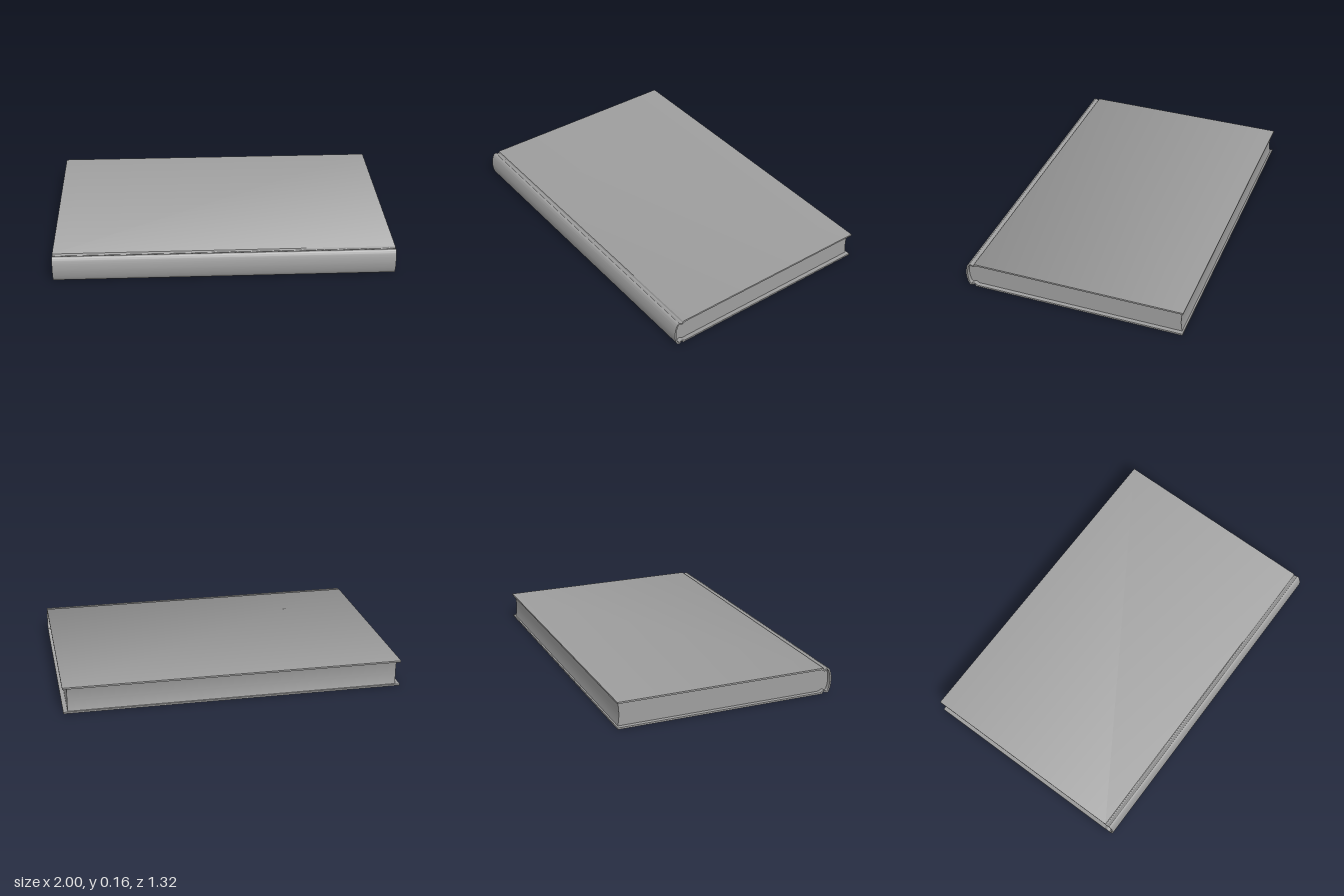
import * as THREE from 'three';
import { toCreasedNormals } from 'three/addons/utils/BufferGeometryUtils.js';

const MID = 0.08; // half the thickness of the closed book
const material = new THREE.MeshStandardMaterial({ color: 0x9e9e9e });

// Smooth spine-side contour from the top board to the bottom board.
// Points are [z, height above the middle]; the lower half is mirrored.
function spineContour(half, samples) {
  const lower = half.slice(0, -1).reverse().map(([z, h]) => [z, -h]);
  const pts = [...half, ...lower].map(([z, h]) => new THREE.Vector3(-z, MID + h, 0));
  return new THREE.CatmullRomCurve3(pts, false, 'centripetal')
    .getPoints(samples).map((p) => new THREE.Vector2(p.x, p.y));
}

// Sweep a side profile (shape x = -z) along the book's length, centred on x = 0
function sweep(name, points, length) {
  let geo = new THREE.ExtrudeGeometry(new THREE.Shape(points), { depth: length, bevelEnabled: false });
  geo.translate(0, 0, -length / 2);
  geo.rotateY(Math.PI / 2);
  geo = toCreasedNormals(geo, 0.8);
  const mesh = new THREE.Mesh(geo, material);
  mesh.name = name;
  return mesh;
}

export function createModel() {
  const book = new THREE.Group();
  book.name = 'book';

  const back = 0.66; // fore-edge of the boards, on -z
  const outer = spineContour([
    [0.604, 0.08], [0.606, 0.072], [0.613, 0.068], [0.621, 0.073], [0.63, 0.077],
    [0.638, 0.0755], [0.646, 0.066], [0.655, 0.041], [0.66, 0],
  ], 128);
  const inner = spineContour([
    [0.592, 0.07], [0.602, 0.063], [0.613, 0.059], [0.622, 0.063], [0.63, 0.067],
    [0.637, 0.062], [0.645, 0.041], [0.65, 0],
  ], 112);

  // Cover: two boards, hinge grooves and rounded spine in one C-shaped profile
  const v = (x, y) => new THREE.Vector2(x, y);
  book.add(sweep('cover', [
    v(back, 2 * MID), ...outer, v(back, 0),
    v(back, 0.01), ...[...inner].reverse(), v(back, 2 * MID - 0.01),
  ], 2));

  // Pages: fill the cover, set in at both ends, with a hollow fore-edge
  const foreEdge = [];
  for (let i = 0; i <= 16; i++) {
    const t = (i / 16) * 2 - 1;
    foreEdge.push(v(0.643 + 0.007 * t * t, MID + 0.07 * t));
  }
  book.add(sweep('pages', [...inner, ...foreEdge], 1.95));

  return book;
}
